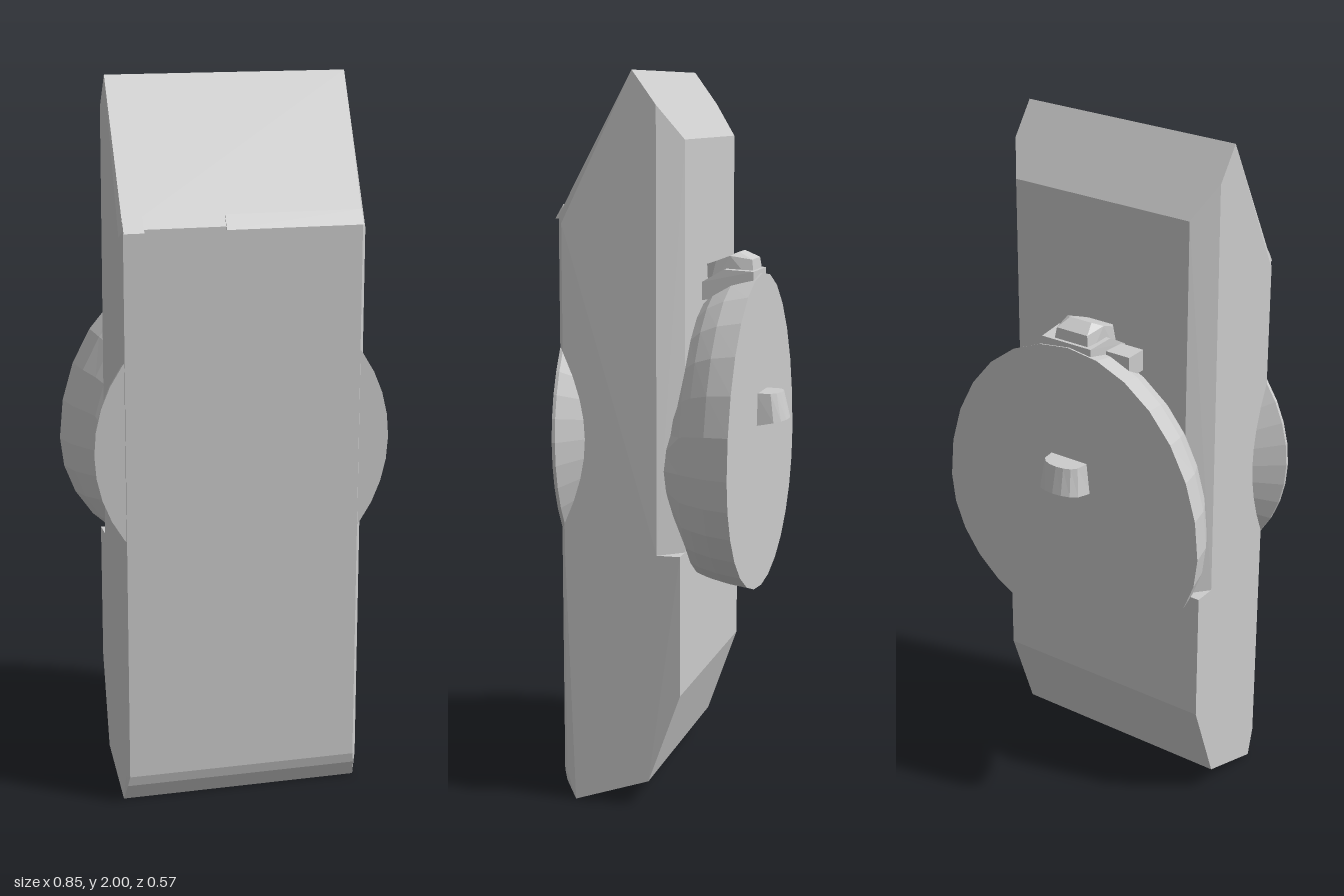
import * as THREE from 'three';
import { ConvexGeometry } from 'three/addons/geometries/ConvexGeometry.js';

const grey = new THREE.MeshStandardMaterial({ color: 0xcccccc, flatShading: true, side: THREE.DoubleSide });

function add(group, name, geometry) {
  const mesh = new THREE.Mesh(geometry, grey);
  mesh.name = name;
  group.add(mesh);
  return mesh;
}

// Convex solid from [halfWidth, y, z] points mirrored across x = cx
function mirroredHull(points, cx = 0) {
  return new ConvexGeometry(points.flatMap(([w, y, z]) =>
    [new THREE.Vector3(cx + w, y, z), new THREE.Vector3(cx - w, y, z)]));
}

// Bowl from egg-shaped rings [z, halfWidth, heightAbove, heightBelow] stacked towards -z
function eggLoft(rings, cy, sides) {
  const pos = [], idx = [];
  for (const [z, rx, up, down] of rings) {
    for (let j = 0; j < sides; j++) {
      const t = (j / sides) * Math.PI * 2, s = Math.sin(t);
      pos.push(rx * Math.cos(t), cy + s * (s > 0 ? up : down), z);
    }
  }
  const last = (rings.length - 1) * sides, front = rings.length * sides, back = front + 1;
  pos.push(0, cy, rings[0][0], 0, cy, rings[rings.length - 1][0]);
  for (let j = 0; j < sides; j++) {
    const k = (j + 1) % sides;
    for (let i = 0; i < last; i += sides) {
      idx.push(i + j, i + sides + j, i + k, i + k, i + sides + j, i + sides + k);
    }
    idx.push(front, j, k, back, last + k, last + j);
  }
  const g = new THREE.BufferGeometry();
  g.setAttribute('position', new THREE.Float32BufferAttribute(pos, 3));
  g.setIndex(idx);
  g.computeVertexNormals();
  return g;
}

export function createModel() {
  const model = new THREE.Group();
  model.name = 'model';

  // Upper case: sloped top, bevelled back edges
  add(model, 'upperBody', mirroredHull([
    [0.325, 1.62, 0.275], [0.335, 1.6, 0.265], [0.33, 2, 0.07],
    [0.33, 1.91, 0.005], [0.28, 1.82, -0.06],
    [0.325, 0.71, 0.275], [0.335, 0.71, 0.265], [0.335, 0.71, 0.005], [0.28, 0.71, -0.06],
  ]));

  // Lower case: full-width back, tapered foot
  add(model, 'lowerBody', mirroredHull([
    [0.325, 0.71, 0.275], [0.335, 0.71, 0.265], [0.335, 0.71, -0.06], [0.335, 0.32, -0.06],
    [0.337, 0.07, 0.03], [0.337, 0, 0.24], [0.335, 0.08, 0.265], [0.325, 0.08, 0.275], [0.33, 0.05, 0.267],
  ]));

  // Lip under the sloped top, with a notch
  for (const [x0, x1] of [[-0.325, -0.27], [-0.05, 0.325]]) {
    const w = (x1 - x0) / 2;
    add(model, 'topLip', mirroredHull(
      [[w, 1.612, 0.284], [w, 1.612, 0.27], [w, 1.65, 0.262]], (x0 + x1) / 2));
  }

  // Round side flanges: one flared disc through the front
  const flare = new THREE.CylinderGeometry(0.41, 0.335, 0.06, 40).rotateX(Math.PI / 2);
  add(model, 'sideFlange', flare).position.set(0, 1.02, 0.235);
  const rim = new THREE.CylinderGeometry(0.41, 0.41, 0.009, 40).rotateX(Math.PI / 2);
  add(model, 'flangeRim', rim).position.set(0, 1.02, 0.2695);

  // Egg-shaped bowl on the back
  add(model, 'backBowl', eggLoft([
    [-0.01, 0.32, 0.22, 0.24],
    [-0.06, 0.355, 0.44, 0.35],
    [-0.09, 0.375, 0.47, 0.36],
    [-0.14, 0.405, 0.495, 0.37],
    [-0.21, 0.424, 0.51, 0.38],
  ], 0.94, 28));

  // Faceted knob above the bowl, with its bracket and side tab
  add(model, 'topBracket', mirroredHull([
    [0.09, 1.38, -0.06], [0.09, 1.43, -0.06], [0.085, 1.465, -0.12],
    [0.08, 1.46, -0.203], [0.08, 1.4, -0.203],
  ], 0.01));
  add(model, 'topKnob', mirroredHull([
    [0.04, 1.475, -0.06], [0.06, 1.485, -0.09], [0.06, 1.5, -0.13], [0.035, 1.51, -0.15],
    [0.05, 1.49, -0.19], [0.06, 1.42, -0.2], [0.065, 1.4, -0.07],
  ]));
  add(model, 'sideTab', new THREE.BoxGeometry(0.075, 0.06, 0.065)).position.set(-0.113, 1.405, -0.108);

  // Hooded back tab: curved outer wall leaning outward, open below
  const outer = [], inner = [];
  for (let i = 0; i <= 8; i++) {
    const a = (i / 8) * Math.PI, c = Math.cos(a), s = Math.sqrt(Math.sin(a) + 1e-6);
    outer.push([0.07 * c, 1.045 - 0.015 * (1 - s), -0.205 - 0.083 * s]);
    inner.push([0.06 * c, 1.12, -0.205 - 0.065 * s]);
  }
  const pos = [], idx = [];
  outer.forEach((p, i) => pos.push(...p, ...inner[i]));
  const centre = pos.length / 3;
  pos.push(0, 1.12, -0.205);
  for (let i = 0; i < 8; i++) {
    const o = i * 2;
    idx.push(o, o + 2, o + 1, o + 1, o + 2, o + 3, centre, o + 1, o + 3);
  }
  const hood = new THREE.BufferGeometry();
  hood.setAttribute('position', new THREE.Float32BufferAttribute(pos, 3));
  hood.setIndex(idx);
  hood.computeVertexNormals();
  add(model, 'backTab', hood);

  return model;
}
